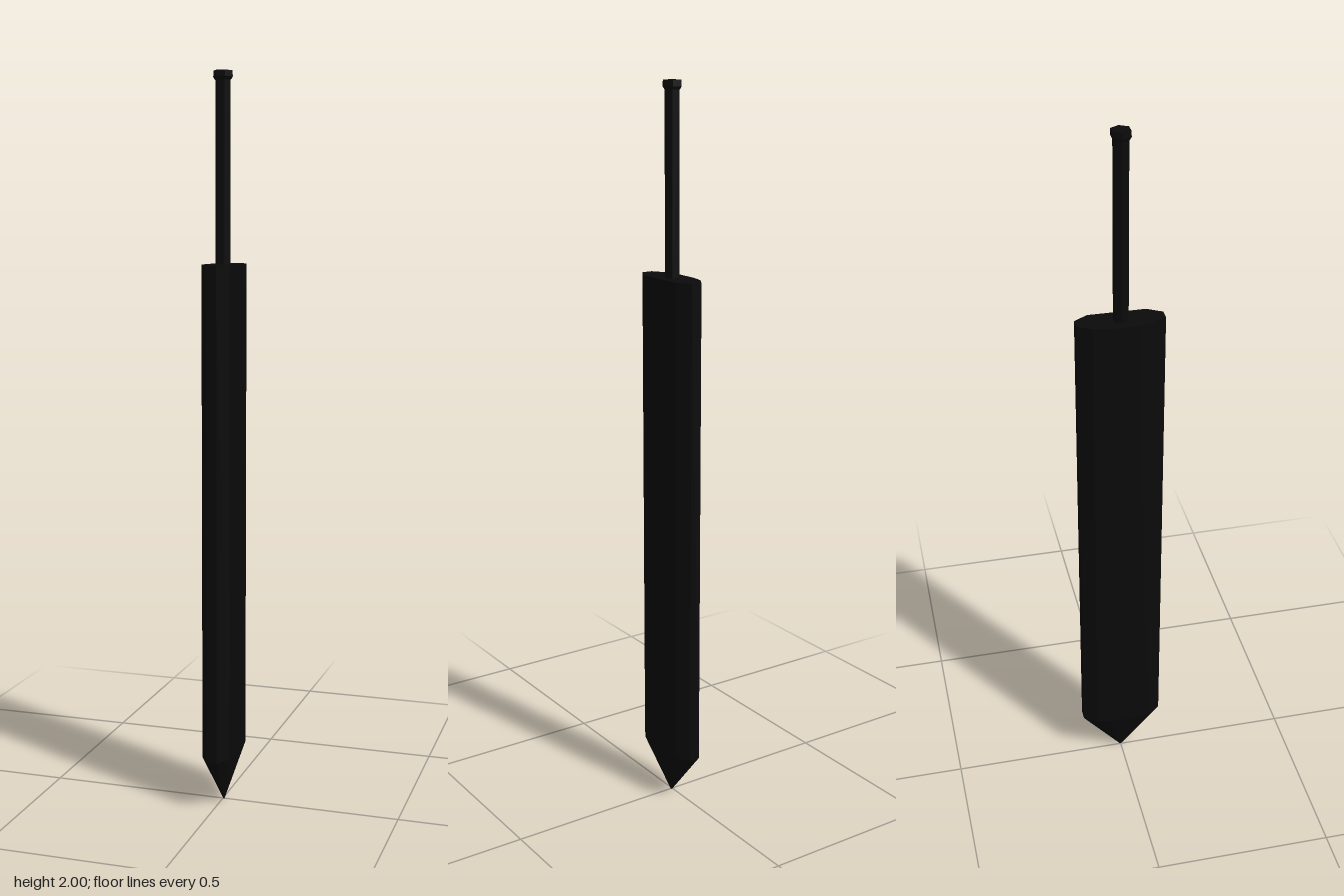
import * as THREE from 'three';

const material = new THREE.MeshStandardMaterial({ color: 0x0a0a0a, flatShading: true });

// Blade cross-section as [x, z], flat on one face and gently bowed on the other
const section = [
  [-0.012, -0.117], [0.018, -0.117], [0.042, -0.079], [0.042, 0.076], [0.018, 0.115],
  [-0.012, 0.115], [-0.035, 0.077], [-0.043, 0.036], [-0.043, -0.039], [-0.035, -0.079],
];

// Joins scaled copies of the section at given heights and caps both ends
function loft(levels) {
  const rings = levels.map(({ y, s }) =>
    section.map(([x, z]) => [0.003 + (x - 0.003) * s, y, z * s]));
  const centre = (y) => [0.003, y, 0];
  const out = [];
  const tri = (...points) => points.forEach((p) => out.push(...p));
  const n = section.length;
  const last = rings.length - 1;
  for (let i = 0; i < n; i++) {
    const j = (i + 1) % n;
    for (let k = 0; k < last; k++) {
      tri(rings[k][i], rings[k + 1][i], rings[k + 1][j]);
      tri(rings[k][i], rings[k + 1][j], rings[k][j]);
    }
    tri(centre(levels[0].y), rings[0][i], rings[0][j]);
    tri(centre(levels[last].y), rings[last][j], rings[last][i]);
  }
  const geometry = new THREE.BufferGeometry();
  geometry.setAttribute('position', new THREE.Float32BufferAttribute(out, 3));
  geometry.computeVertexNormals();
  return geometry;
}

// Six-sided prism with corners pointing along x
function hexPrism(top, bottom, y0, y1) {
  const g = new THREE.CylinderGeometry(top, bottom, y1 - y0, 6, 1, false, Math.PI / 6);
  return g.translate(0, (y0 + y1) / 2, 0);
}

export function createModel() {
  const group = new THREE.Group();
  const add = (name, geometry) => {
    const mesh = new THREE.Mesh(geometry, material);
    mesh.name = name;
    group.add(mesh);
  };

  // Long body tapering to the point it stands on
  add('blade', loft([{ y: 0, s: 0.03 }, { y: 0.145, s: 1 }, { y: 1.497, s: 1 }]));

  // Handle and its flared end
  add('grip', hexPrism(0.021, 0.021, 1.49, 1.98));
  add('pommelFlare', hexPrism(0.027, 0.022, 1.976, 1.984));
  add('pommel', hexPrism(0.026, 0.027, 1.984, 2));

  return group;
}
